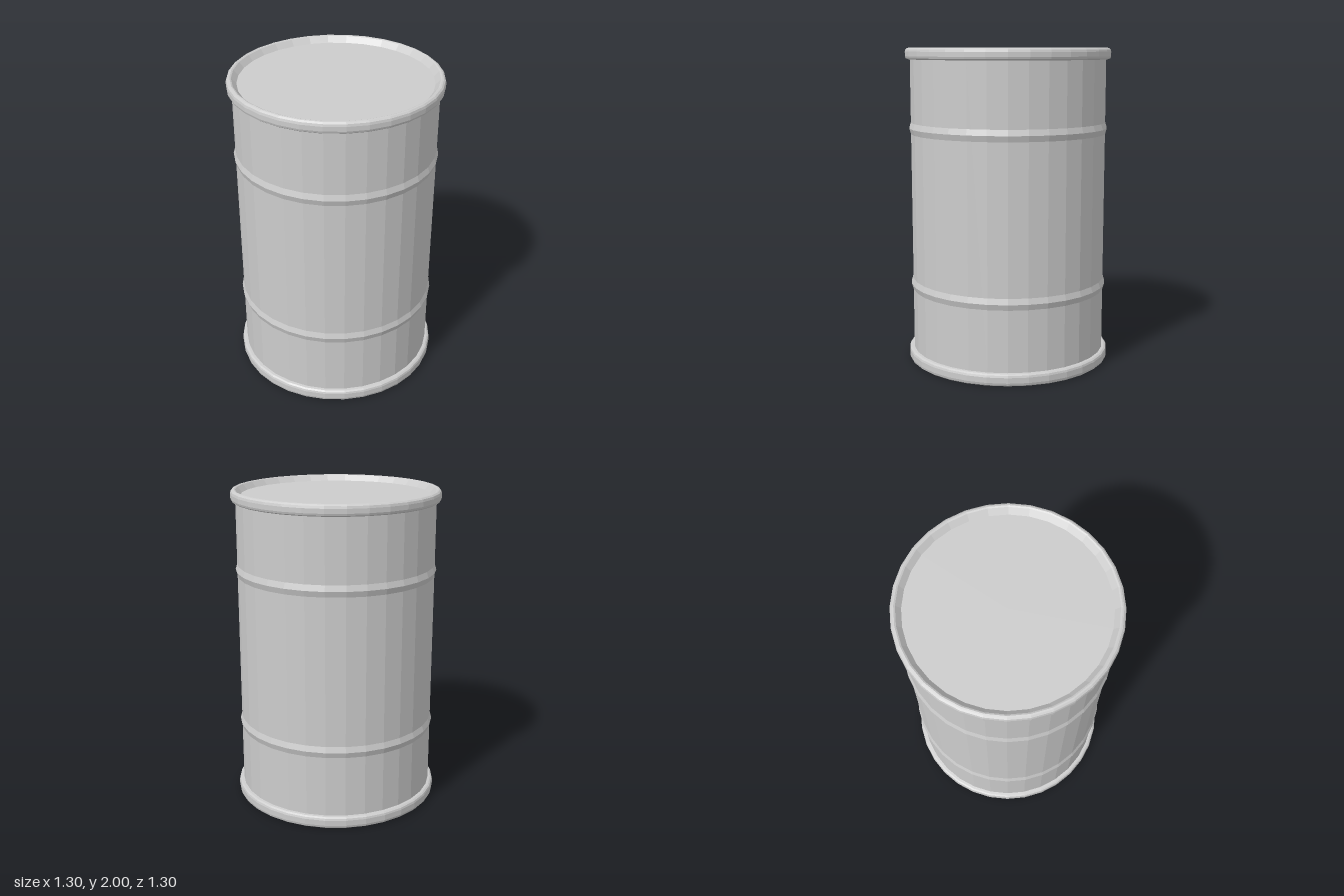
import * as THREE from 'three';

const SIDES = 32;
const BODY_R = 0.62;

export function createModel() {
  const barrel = new THREE.Group();
  barrel.name = 'barrel';
  const steel = new THREE.MeshStandardMaterial({ color: 0xcccccc, flatShading: true });
  steel.name = 'greySteel';

  // Turns a [radius, height] profile, listed from the bottom up, into a faceted ring
  const turn = (name, profile) => {
    const points = profile.map(([r, y]) => new THREE.Vector2(r, y));
    const mesh = new THREE.Mesh(new THREE.LatheGeometry(points, SIDES), steel);
    mesh.name = name;
    barrel.add(mesh);
    return mesh;
  };

  // Flat disc with its corners lined up with the rings
  const disc = (name, radius, y, facing) => {
    const mesh = new THREE.Mesh(new THREE.CircleGeometry(radius, SIDES), steel);
    mesh.rotation.x = -facing * Math.PI / 2;
    mesh.position.y = y;
    mesh.name = name;
    barrel.add(mesh);
  };

  // Straight wall
  turn('body', [[BODY_R, 0.07], [BODY_R, 1.94]]);

  // Pressed ridges around the wall
  for (const [name, y] of [['lowerRidge', 0.5], ['upperRidge', 1.5]]) {
    turn(name, [[BODY_R, y - 0.036], [0.631, y], [BODY_R, y + 0.036]]);
  }

  // Rolled bottom rim and flat base
  turn('bottomRim', [
    [0.635, 0], [0.646, 0.008], [0.65, 0.022], [0.65, 0.056],
    [0.646, 0.068], [0.636, 0.075], [BODY_R, 0.077],
  ]);
  disc('base', 0.635, 0, -1);

  // Rolled top rim sloping in to the sunken lid
  turn('topRim', [
    [BODY_R, 1.928], [0.638, 1.93], [0.646, 1.936], [0.65, 1.948], [0.65, 1.976],
    [0.646, 1.99], [0.636, 1.998], [0.627, 2], [0.618, 1.996], [0.588, 1.962],
  ]);
  disc('lid', 0.588, 1.962, 1);

  return barrel;
}
